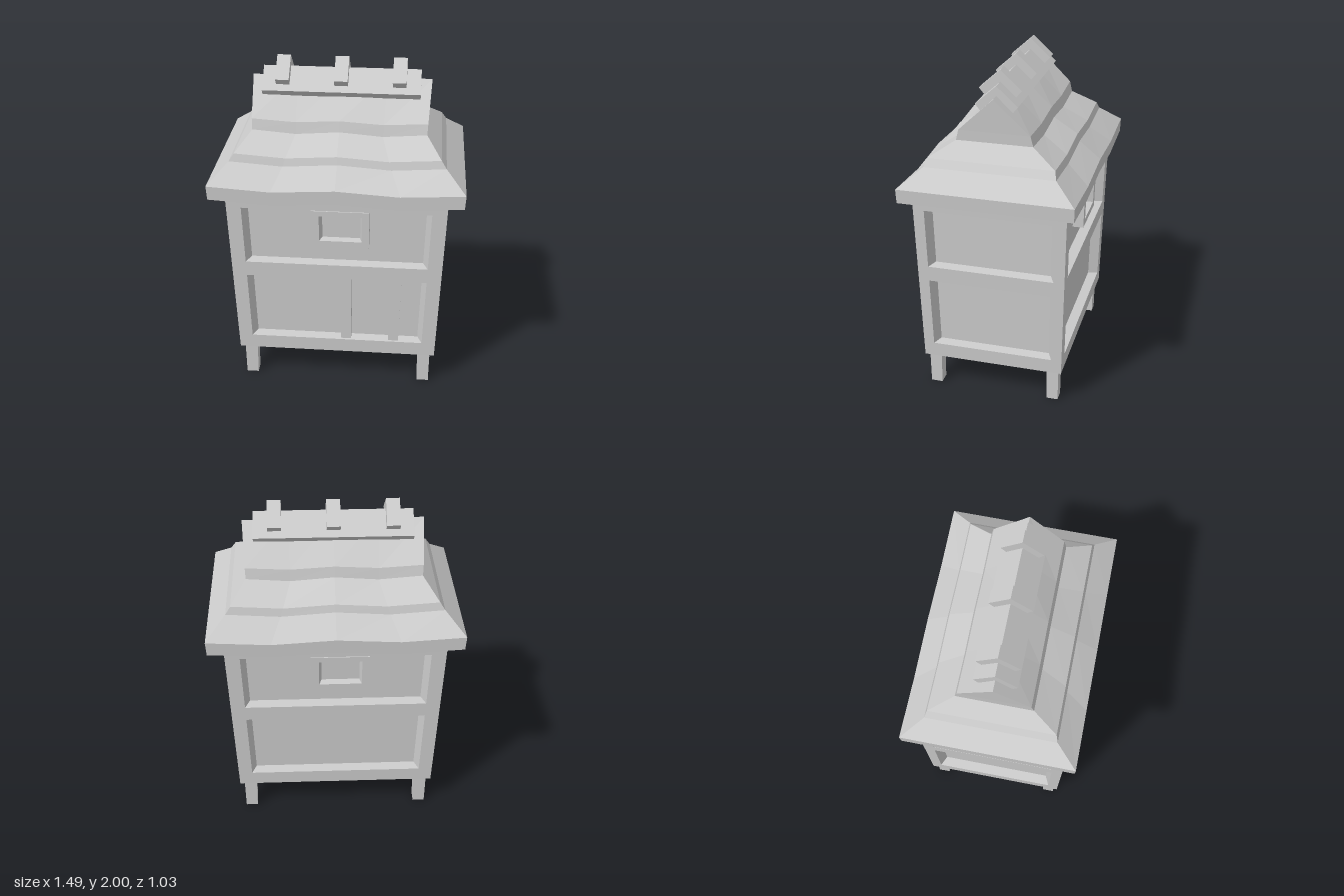
import * as THREE from 'three';

const material = new THREE.MeshStandardMaterial({ color: 0xcccccc, flatShading: true });
const W = 0.61, D = 0.43, BASE = 0.21, TOP = 1.285, DEPTH = 0.06;

// Skin successive rings of points (counter-clockwise about the direction of travel).
function loft(rings, cap = false) {
  const pos = [];
  const tri = (...pts) => pts.forEach((p) => pos.push(...p));
  const n = rings[0].length;
  for (let r = 0; r + 1 < rings.length; r++) {
    for (let i = 0; i < n; i++) {
      const j = (i + 1) % n, a = rings[r], b = rings[r + 1];
      tri(a[i], a[j], b[j]);
      tri(a[i], b[j], b[i]);
    }
  }
  const end = rings[rings.length - 1];
  if (cap) for (let i = 1; i + 1 < n; i++) tri(end[0], end[i], end[i + 1]);
  const g = new THREE.BufferGeometry();
  g.setAttribute('position', new THREE.Float32BufferAttribute(pos, 3));
  g.computeVertexNormals();
  return g;
}

const rect = (x0, x1, y0, y1, z) => [[x0, y0, z], [x1, y0, z], [x1, y1, z], [x0, y1, z]];

// The walls lean outwards towards the eaves.
function flare(g) {
  const p = g.attributes.position;
  for (let i = 0; i < p.count; i++) {
    const t = (p.getY(i) - BASE) / (TOP - BASE);
    p.setX(i, p.getX(i) * (1 + t * 0.04 / W));
    p.setZ(i, p.getZ(i) * (1 + t * 0.025 / D));
  }
  g.computeVertexNormals();
  return g;
}

function add(parent, name, geometry) {
  const mesh = new THREE.Mesh(geometry, material);
  mesh.name = name;
  parent.add(mesh);
  return mesh;
}

// One wall: timber frame with two sunken panels.
function addWall(parent, name, half, dist, holeHalf, angle) {
  const wall = new THREE.Group();
  wall.name = name;
  parent.add(wall);
  const path = (r) => r.map(([x, y]) => new THREE.Vector2(x, y));
  const frame = new THREE.Shape(path(rect(-half, half, BASE, TOP, 0)));
  for (const [y0, y1] of [[0.3, 0.745], [0.84, 1.21]]) {
    frame.holes.push(new THREE.Path(path(rect(-holeHalf, holeHalf, y0, y1, 0))));
    const inner = holeHalf - 0.028;
    const g = loft([
      rect(-holeHalf, holeHalf, y0, y1, dist),
      rect(-inner, inner, y0 + 0.007, y1 - 0.012, dist - DEPTH),
    ], true);
    add(wall, 'sunkenPanel', flare(g.rotateY(angle)));
  }
  const g = new THREE.ShapeGeometry(frame).translate(0, 0, dist);
  add(wall, 'wallFrame', flare(g.rotateY(angle)));
  return wall;
}

// Square window surround with a recessed pane.
function addWindow(wall, angle) {
  const x0 = -0.14, x1 = 0.186, y0 = 0.97, y1 = 1.208, z = D + 0.003;
  const g = loft([
    rect(x0, x1, y0, y1, D - DEPTH - 0.01),
    rect(x0, x1, y0, y1, z),
    rect(x0 + 0.045, x1 - 0.04, y0 + 0.04, y1 - 0.033, z),
    rect(x0 + 0.06, x1 - 0.052, y0 + 0.046, y1 - 0.042, z - 0.04),
  ], true);
  add(wall, 'window', flare(g.rotateY(angle)));
}

// Roof ring: both long sides dip halfway between the middle and the corners.
function roofRing(x, z, y, dip) {
  const steps = [-1, -0.5, 0, 0.5, 1];
  const side = steps.map((s) => [s * x, y - (Math.abs(s) === 0.5 ? dip : 0), z]);
  return [...side, ...side.map(([px, py, pz]) => [-px, py, -pz])];
}

// Folded strip that straddles the ridge.
function chevron(apex, width) {
  const s = new THREE.Shape();
  s.moveTo(0, apex);
  s.lineTo(-0.125, apex - 0.113);
  s.lineTo(-0.09, apex - 0.155);
  s.lineTo(0, apex - 0.07);
  s.lineTo(0.09, apex - 0.155);
  s.lineTo(0.125, apex - 0.113);
  const g = new THREE.ExtrudeGeometry(s, { depth: width, bevelEnabled: false });
  return g.translate(0, 0, -width / 2).rotateY(Math.PI / 2);
}

export function createModel() {
  const model = new THREE.Group();
  model.name = 'raisedHut';

  // Walls
  const front = addWall(model, 'frontWall', W, D, 0.527, 0);
  const back = addWall(model, 'backWall', W, D, 0.527, Math.PI);
  addWall(model, 'leftWall', D, W, 0.367, Math.PI / 2);
  addWall(model, 'rightWall', D, W, 0.367, -Math.PI / 2);
  addWindow(front, 0);
  addWindow(back, Math.PI);

  // Door posts on the front only
  for (const x of [0.058, 0.35]) {
    const post = new THREE.BoxGeometry(0.062, 0.445, 0.055);
    add(front, 'doorPost', flare(post.translate(x, 0.5225, D - 0.04)));
  }

  // Floor
  const floor = new THREE.PlaneGeometry(2 * W, 2 * D).rotateX(Math.PI / 2);
  add(model, 'floor', floor.translate(0, BASE, 0));

  // Legs, slightly narrower at the foot
  for (const sx of [-1, 1]) {
    for (const sz of [-1, 1]) {
      const leg = new THREE.BoxGeometry(0.078, BASE, 0.075).translate(0, BASE / 2, 0);
      const p = leg.attributes.position;
      for (let i = 0; i < p.count; i++) {
        if (p.getY(i) < 0.01) p.setXYZ(i, p.getX(i) * 0.93, 0, p.getZ(i) * 0.93);
      }
      leg.computeVertexNormals();
      add(model, 'leg', leg.translate(sx * 0.544, 0, sz * 0.371));
    }
  }

  // Tiered sagging roof, from the underside of the eaves to the ridge
  const levels = [
    [0.6, 0.42, 1.28, 0], [0.74, 0.512, 1.285, 0.022], [0.745, 0.515, 1.37, 0.022],
    [0.63, 0.385, 1.475, 0.022], [0.6, 0.372, 1.52, 0.02], [0.512, 0.225, 1.612, 0.02],
    [0.515, 0.21, 1.675, 0.015], [0.53, 0, 1.875, 0],
  ];
  add(model, 'roof', loft(levels.map((l) => roofRing(...l))));

  // Ridge cap and the three battens over it
  add(model, 'ridgeCap', chevron(1.932, 0.93));
  for (const x of [-0.344, 0, 0.341]) {
    add(model, 'ridgeBatten', chevron(2, 0.08)).position.x = x;
  }
  return model;
}
